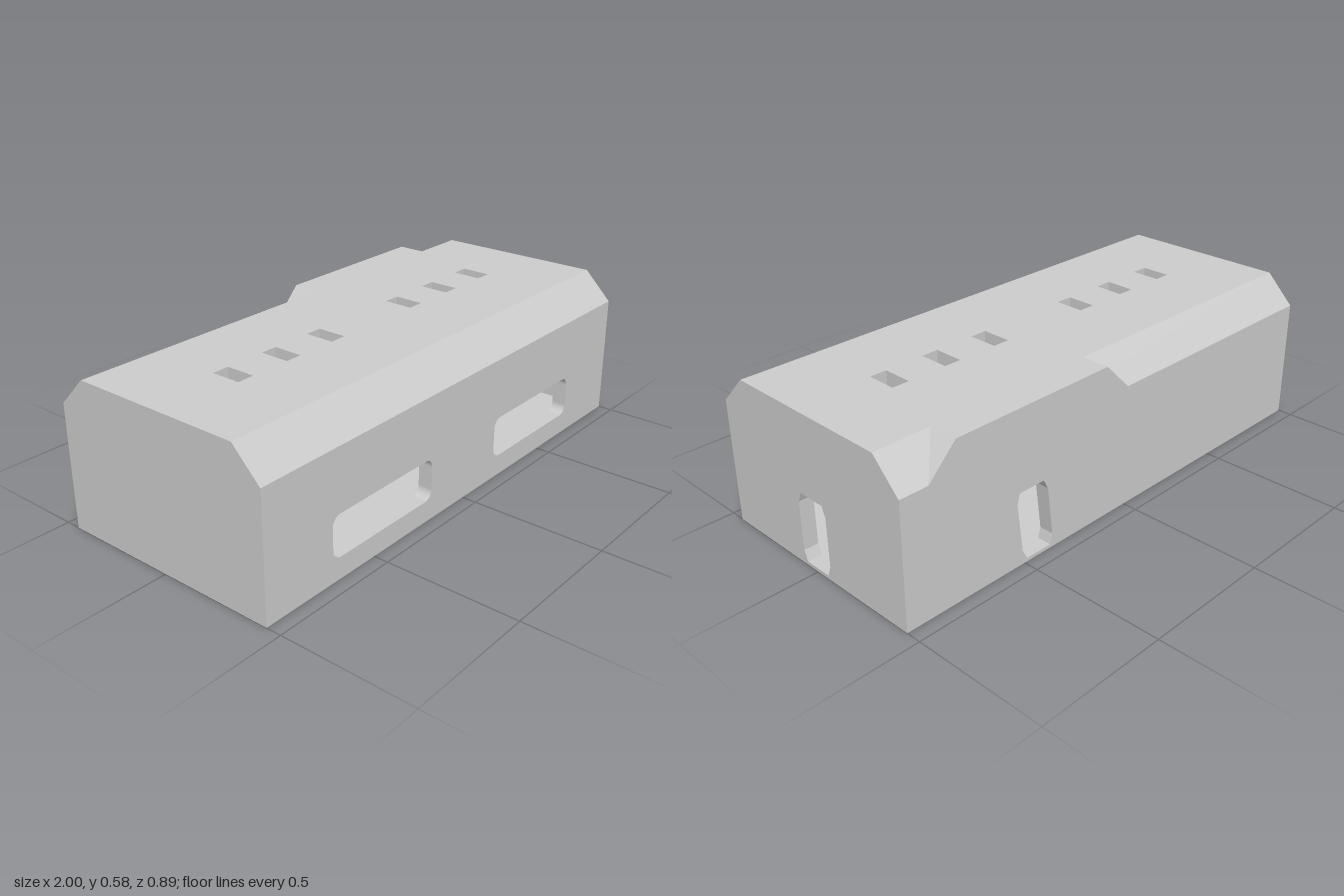
import * as THREE from 'three';
import { ConvexGeometry } from 'three/addons/geometries/ConvexGeometry.js';

const H = 0.577, EAVE = 0.467, D = 0.444, R = 0.335; // height, eave height, half depth, half roof depth
const T = 0.055, IN = 1 - T; // wall thickness, half length between the end walls

const points = (list) => list.map(([x, y]) => new THREE.Vector2(x, y));
const rect = (x0, x1, y0, y1) => points([[x0, y0], [x1, y0], [x1, y1], [x0, y1]]);

// rectangle with rounded corners
function roundedSlot(x0, x1, y0, y1, r) {
  const p = new THREE.Path();
  p.absarc(x1 - r, y1 - r, r, 0, Math.PI / 2);
  p.absarc(x0 + r, y1 - r, r, Math.PI / 2, Math.PI);
  p.absarc(x0 + r, y0 + r, r, Math.PI, Math.PI * 1.5);
  p.absarc(x1 - r, y0 + r, r, Math.PI * 1.5, Math.PI * 2);
  return p;
}

// upright doorway with clipped corners, optionally leaning sideways
function doorway(cx, half, lean) {
  const y0 = 0.013, y1 = 0.275, c = 0.015, h = 0.038;
  const outline = [
    [-half + c, y0], [half - c, y0], [half, y0 + h], [half, y1 - h],
    [half - c, y1], [-half + c, y1], [-half, y1 - h], [-half, y0 + h],
  ];
  return new THREE.Path(points(outline.map(([x, y]) => [cx + x + lean * (y - 0.144), y])));
}

export function createModel() {
  const group = new THREE.Group();
  const material = new THREE.MeshStandardMaterial({ color: 0xcccccc, flatShading: true });

  const add = (name, geometry, x = 0, y = 0, z = 0) => {
    const mesh = new THREE.Mesh(geometry, material);
    mesh.name = name;
    mesh.position.set(x, y, z);
    group.add(mesh);
  };
  const panel = (outline, depth, holes = []) => {
    const shape = new THREE.Shape(outline);
    shape.holes.push(...holes);
    return new THREE.ExtrudeGeometry(shape, { depth, bevelEnabled: false, curveSegments: 5 });
  };

  // long walls: two wide windows in front, one leaning doorway behind
  const wall = rect(-IN, IN, 0, EAVE);
  const windows = [[-0.7, -0.19], [0.19, 0.7]].map(([a, b]) => roundedSlot(a, b, 0.08, 0.235, 0.035));
  add('frontWall', panel(wall, T, windows), 0, 0, D - T);
  add('backWall', panel(wall, T, [doorway(0.45, 0.07, 0.12)]), 0, 0, -D);

  // end walls with clipped top corners, a doorway in the left one
  const gable = points([[-D, 0], [D, 0], [D, EAVE], [R, H], [-R, H], [-D, EAVE]]);
  add('leftEndWall', panel(gable, T, [doorway(0, 0.07, 0)]).rotateY(Math.PI / 2), IN);
  add('rightEndWall', panel(gable, T).rotateY(Math.PI / 2), -1);

  // roof with a row of six vents
  const vents = [];
  for (const side of [-1, 1]) {
    for (const x of [0.22, 0.443, 0.664]) {
      const c = side * x;
      vents.push(new THREE.Path(rect(c - 0.033, c + 0.033, -0.058, 0.056)));
    }
  }
  add('roof', panel(rect(-IN, IN, -R, R), T, vents).rotateX(Math.PI / 2), 0, H);

  // sloping eaves along both long edges
  for (const [name, s] of [['frontEave', -1], ['backEave', 1]]) {
    const section = points([[s * D, EAVE], [s * R, H], [s * R, H - T], [s * (D - T), EAVE]]);
    add(name, panel(section, 2 * IN).rotateY(Math.PI / 2), -IN);
  }

  // square-edged block filling part of the back eave
  const block = [
    [0, EAVE, -D], [0.89, EAVE, -D], [0.11, H, -D],
    [0.78, H, -D], [0.11, H, -R], [0.78, H, -R],
  ].map((p) => new THREE.Vector3(...p));
  add('backEaveBlock', new ConvexGeometry(block));

  // floor
  const thick = 0.012;
  add('floor', new THREE.BoxGeometry(2 * IN, thick, 2 * (D - T)), 0, thick / 2);

  return group;
}
